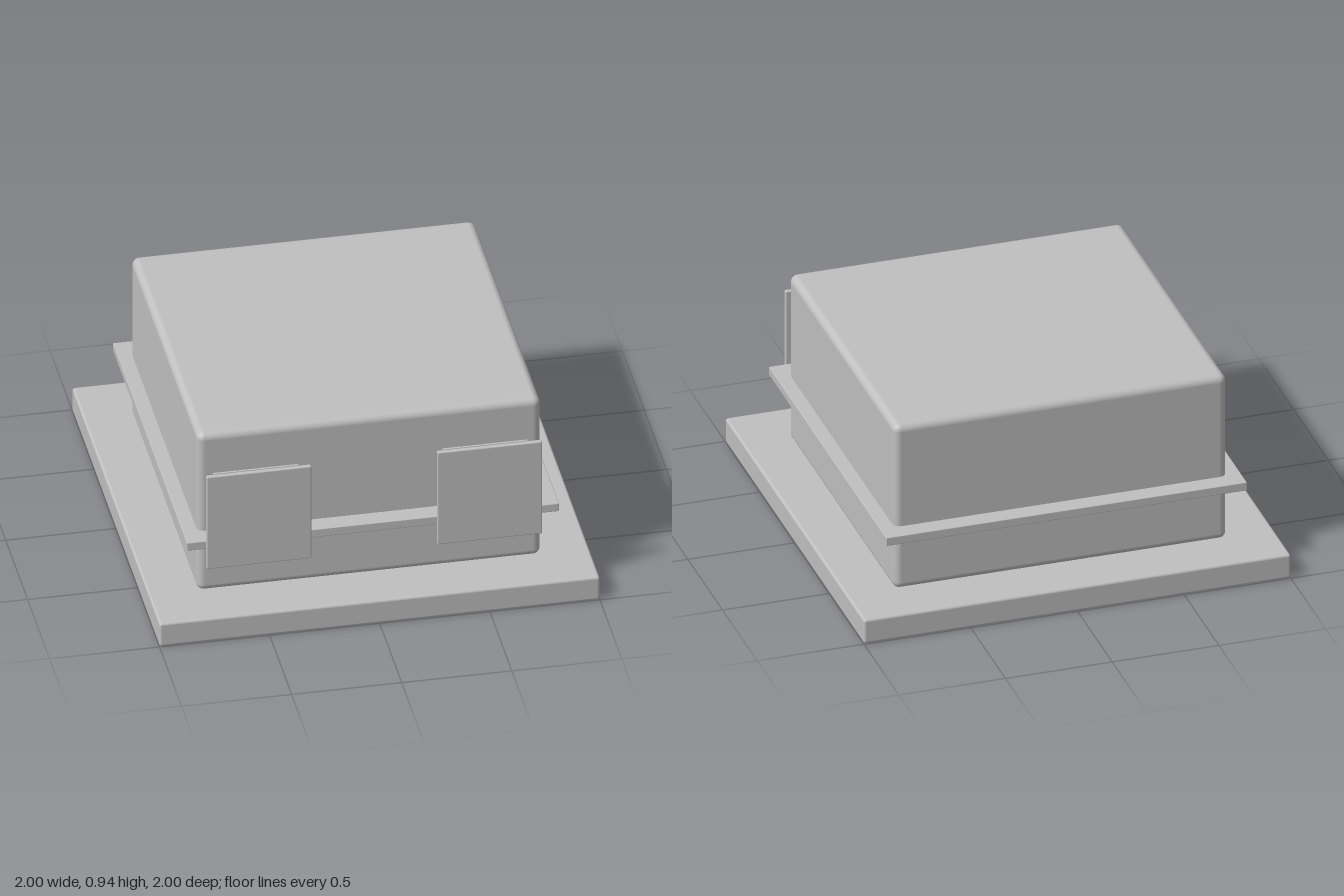
import * as THREE from 'three';
import { RoundedBoxGeometry } from 'three/addons/geometries/RoundedBoxGeometry.js';

export function createModel() {
  const group = new THREE.Group();
  const grey = new THREE.MeshStandardMaterial({ color: 0xbfbfbf });
  grey.name = 'plain grey';

  // Rounded box given by its size, bottom height and centre in x and z
  function block(name, [w, h, d], radius, bottom, x = 0, z = 0) {
    const mesh = new THREE.Mesh(new RoundedBoxGeometry(w, h, d, 4, radius), grey);
    mesh.name = name;
    mesh.position.set(x, bottom + h / 2, z);
    group.add(mesh);
  }

  // Base slab, main body and the thin ledge around it
  block('base', [2, 0.12, 2], 0.012, 0);
  block('body', [1.56, 0.83, 1.52], 0.035, 0.11);
  block('ledge', [1.69, 0.042, 1.69], 0.004, 0.39);

  // A pair of floating front panels, each with a thinner plate behind it
  for (const [side, s] of [['left', 1], ['right', -1]]) {
    block(side + 'FrontPanel', [0.476, 0.486, 0.022], 0.006, 0.304, s * 0.524, 0.869);
    block(side + 'BackingPlate', [0.388, 0.4, 0.01], 0.002, 0.347, s * 0.521, 0.785);
  }

  return group;
}
